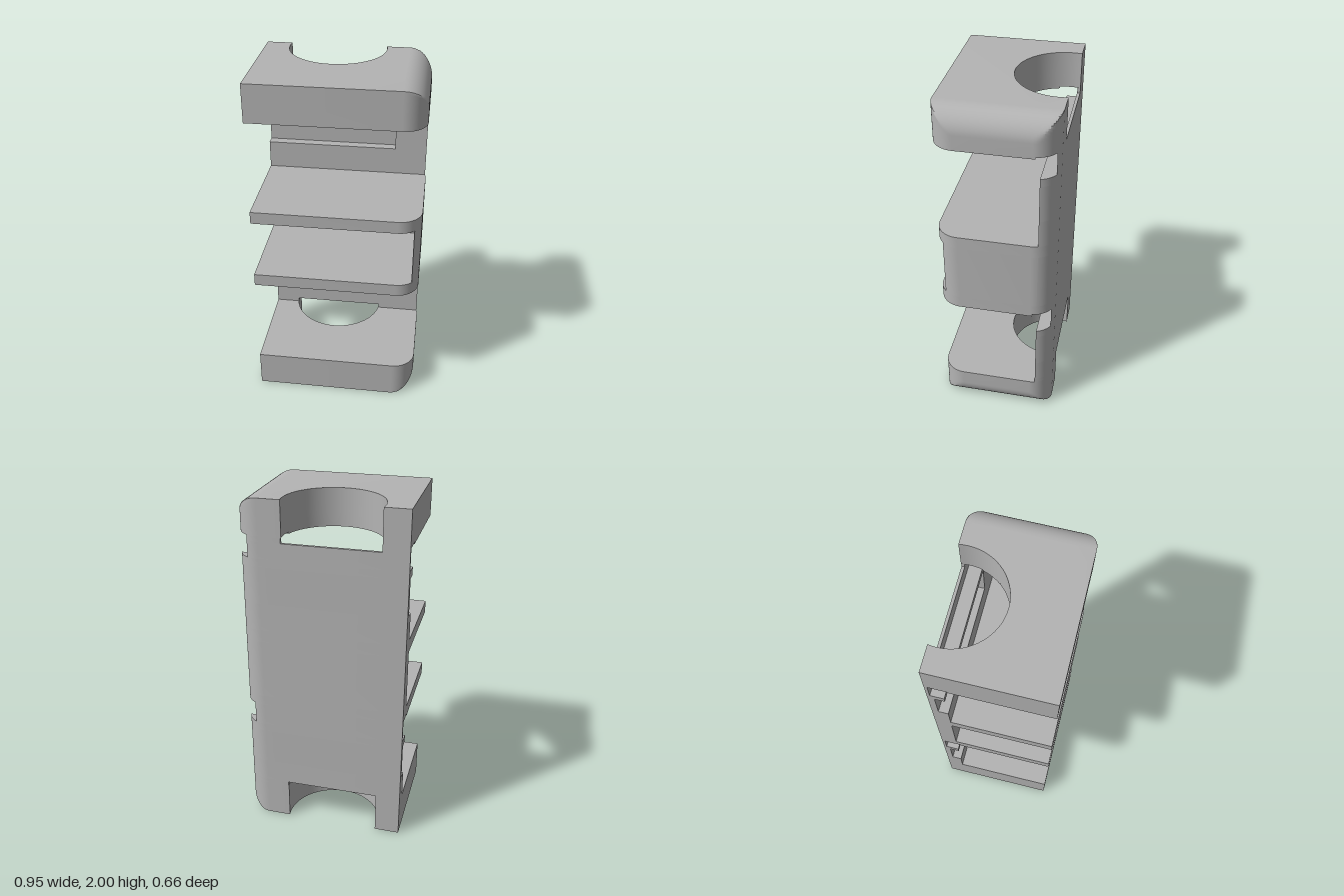
import * as THREE from 'three';
import { toCreasedNormals } from 'three/addons/utils/BufferGeometryUtils.js';

const X = 0.475, Z = 0.332, R = 0.13;          // half width, half depth, corner radius
const HOLE = { x: -0.06, z: -0.285, r: 0.275 }; // round cut-out in the end blocks
const WIN = [-0.33, 0.215];                     // window in the back plate
const THIN = -0.315, THICK = -0.24, POCKET = -0.295;

// right-hand limit of the rounded plan at depth z
const edgeX = z => X - R + Math.sqrt(Math.max(0, R * R - Math.max(0, Math.abs(z) - Z + R) ** 2));

// plan outline between two depths, optionally trimmed in x or notched by the round hole
function plan({ z0 = -Z, z1 = Z, x0 = -X, x1 = X, notch = false }) {
  const pts = [[x0, z0]];
  if (notch) {
    const a = Math.asin((z0 - HOLE.z) / HOLE.r), n = 40;
    for (let i = 0; i <= n; i++) {
      const t = Math.PI - a + (2 * a - Math.PI) * i / n;
      pts.push([HOLE.x + HOLE.r * Math.cos(t), HOLE.z + HOLE.r * Math.sin(t)]);
    }
  }
  const depths = [z0, z1];
  for (let i = 0; i <= 14; i++) {
    const z = Z - R + R * Math.sin(i / 14 * Math.PI / 2);
    for (const s of [z, -z]) if (s > z0 + 1e-4 && s < z1 - 1e-4) depths.push(s);
  }
  depths.sort((a, b) => a - b).forEach(z => pts.push([Math.min(x1, edgeX(z)), z]));
  pts.push([x0, z1]);
  return new THREE.Shape(pts.map(([x, z]) => new THREE.Vector2(x, -z)));
}

export function createModel() {
  const group = new THREE.Group();
  const grey = new THREE.MeshStandardMaterial({ color: 0xb4b4b4 });
  grey.name = 'grey';

  // extrude a plan from y0 to y1; round = +1 / -1 rounds the upper / lower right edge
  function layer(name, y0, y1, opts = {}, round = 0) {
    const steps = round ? 16 : 1;
    const g = new THREE.ExtrudeGeometry(plan(opts), { depth: 1, steps, bevelEnabled: false });
    g.rotateX(-Math.PI / 2);
    const p = g.attributes.position;
    for (let i = 0; i < p.count; i++) {
      let t = p.getY(i);
      if (round) {
        // first step is the straight wall, the others follow the arc
        const k = Math.round((round > 0 ? t : 1 - t) * steps);
        const a = Math.max(0, k - 1) / (steps - 1) * Math.PI / 2;
        const d = k === 0 ? y1 - y0 : R * (1 - Math.sin(a));
        p.setX(i, Math.min(p.getX(i), X - R + R * Math.cos(a)));
        p.setY(i, round > 0 ? y1 - d : y0 + d);
      } else p.setY(i, y0 + t * (y1 - y0));
    }
    const mesh = new THREE.Mesh(toCreasedNormals(g.toNonIndexed ? (g.index ? g.toNonIndexed() : g) : g, 0.5), grey);
    mesh.name = name;
    group.add(mesh);
  }

  // plate layer interrupted by the window
  function windowLayer(name, y0, y1, z1) {
    layer(name + 'Right', y0, y1, { z1, x1: WIN[0] });
    layer(name + 'Left', y0, y1, { z1, x0: WIN[1] });
  }

  // plate layer with a shallow pocket open to the right side
  function pocketLayer(name, y0, y1) {
    layer(name + 'Floor', y0, y1, { z1: POCKET, x1: 0.285 });
    layer(name + 'End', y0, y1, { z1: THICK, x0: 0.285 });
  }

  // lower bay
  layer('bottomBlock', 0, 0.22, { notch: true }, -1);
  windowLayer('lowerWindowPost', 0.22, 0.245, THICK);
  layer('lowerPlateBase', 0.245, 0.38, { z1: THICK });
  pocketLayer('lowerPocket', 0.38, 0.595);
  layer('lowerPlateLip', 0.595, 0.64, { z1: THICK });
  layer('lowerThinPlate', 0.64, 0.77, { z1: THIN });

  // middle box
  layer('lowerShelfUnderside', 0.757, 0.77, { z0: -0.215 });
  layer('lowerShelf', 0.77, 0.83);
  layer('middlePlate', 0.83, 1.178, { z1: THICK });
  layer('middleSideWall', 0.83, 1.178, { z0: THICK, z1: 0.293, x0: 0.435 });
  layer('upperShelf', 1.178, 1.25);

  // upper bay
  layer('upperPlateBase', 1.25, 1.41, { z1: THICK });
  pocketLayer('upperPocket', 1.41, 1.625);
  layer('upperPlateLip', 1.625, 1.67, { z1: THICK });
  layer('upperThinPlate', 1.67, 1.765, { z1: THIN });
  windowLayer('upperWindowPost', 1.765, 1.795, THIN);
  layer('topBlockUnderside', 1.785, 1.795, { z0: -0.215, notch: true });
  layer('topBlock', 1.795, 2, { notch: true }, 1);

  return group;
}
